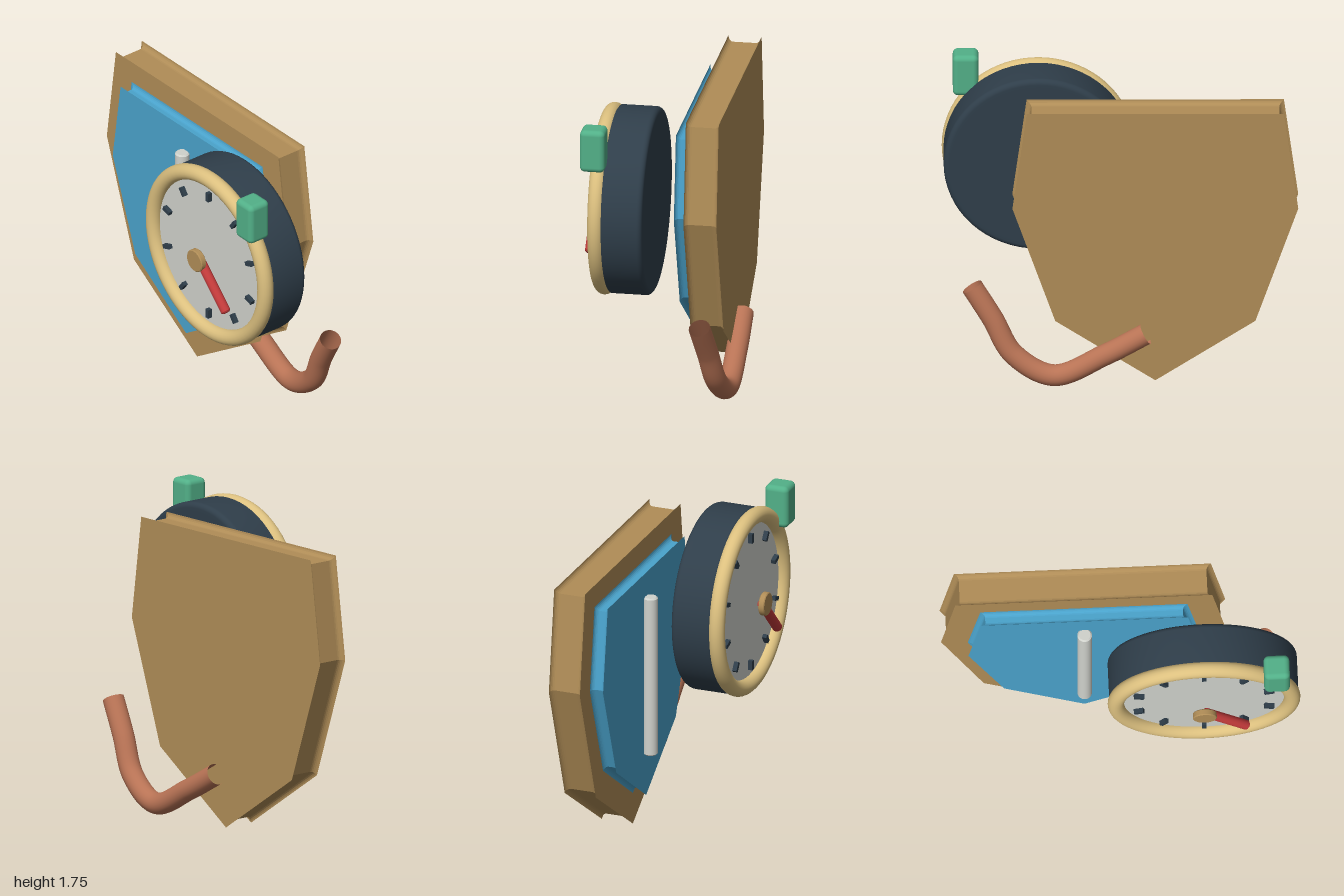
import * as THREE from 'three';
import { RoundedBoxGeometry } from 'three/addons/geometries/RoundedBoxGeometry.js';

const material = (name, color, side = THREE.FrontSide) => {
  const m = new THREE.MeshStandardMaterial({ color, side });
  m.name = name;
  return m;
};

export function createModel() {
  const bronze = material('bronze', 0xb08d57);
  const blue = material('blue enamel', 0x4aa3cc);
  const silver = material('pale silver', 0xd0d2cc);
  const slate = material('dark slate', 0x2f3e4a);
  const gold = material('pale gold', 0xdcc07f);
  const red = material('red', 0xc23a3a);
  const green = material('green', 0x52b088);
  const copper = material('copper', 0xb87355, THREE.DoubleSide);

  const model = new THREE.Group();
  const add = (parent, name, geometry, mat, x = 0, y = 0, z = 0) => {
    const mesh = new THREE.Mesh(geometry, mat);
    mesh.name = name;
    mesh.position.set(x, y, z);
    parent.add(mesh);
    return mesh;
  };

  // Symmetric plate whose edge is coved inward between two flared faces
  const covedPlate = (half, tipY, thickness, cove) => {
    const right = half.map(([x, y]) => new THREE.Vector2(x, y));
    const left = half.map(([x, y]) => new THREE.Vector2(-x, y)).reverse();
    const shape = new THREE.Shape([new THREE.Vector2(0, tipY), ...right, ...left]);
    const geometry = new THREE.ExtrudeGeometry(shape, {
      depth: thickness - 2 * cove, bevelEnabled: true,
      bevelThickness: cove, bevelSize: -0.03, bevelSegments: 5,
    });
    return geometry.translate(0, 0, cove);
  };

  // Round rod along y with slightly eased ends, base at y = 0
  const rod = (radius, length, ease = 0.008) => new THREE.LatheGeometry([
    [0, 0], [radius - ease, 0], [radius - ease, 0], [radius, ease], [radius, ease],
    [radius, length - ease], [radius, length - ease], [radius - ease, length],
    [radius - ease, length], [0, length],
  ].map(([x, y]) => new THREE.Vector2(x, y)), 32);

  // Shield: bronze back plate, enamel front plate and upright bar
  const shield = new THREE.Group();
  shield.name = 'shield';
  shield.position.x = -0.2;
  model.add(shield);
  add(shield, 'backPlate', covedPlate(
    [[0.56, 0.39], [0.8, 1.09], [0.72, 1.68]], 0.02, 0.187, 0.03), bronze, 0, 0, -0.327);
  add(shield, 'frontPlate', covedPlate(
    [[0.45, 0.51], [0.65, 1.065], [0.58, 1.55]], 0.205, 0.08, 0.025), blue, 0, 0, -0.14);
  add(shield, 'uprightBar', rod(0.041, 0.952), silver, 0, 0.457, -0.033);

  // Gauge: all parts share one axis along z
  const gauge = new THREE.Group();
  gauge.name = 'gauge';
  gauge.position.set(0.454, 1.182, 0);
  model.add(gauge);

  // Drum body with rounded rims
  const R = 0.53, r = 0.03, z0 = 0.035, z1 = 0.29;
  const profile = [new THREE.Vector2(0, z0), new THREE.Vector2(R - r - 0.02, z0)];
  for (let i = 0; i <= 5; i++) {
    const a = (i / 5) * Math.PI / 2;
    profile.push(new THREE.Vector2(R - r + r * Math.sin(a), z0 + r - r * Math.cos(a)));
  }
  profile.push(new THREE.Vector2(R, 0.26), new THREE.Vector2(R - 0.02, z1 - 0.01),
    new THREE.Vector2(R - 0.06, z1), new THREE.Vector2(0, z1));
  add(gauge, 'drumBody', new THREE.LatheGeometry(profile, 64).rotateX(Math.PI / 2), slate);
  add(gauge, 'bezelRing', new THREE.TorusGeometry(0.494, 0.046, 20, 72), gold, 0, 0, 0.302);
  add(gauge, 'dialFace', new THREE.CircleGeometry(0.48, 64), silver, 0, 0, 0.297);

  // Ten hour marks
  for (let i = 0; i < 10; i++) {
    const a = (i / 10) * Math.PI * 2;
    const tick = add(gauge, 'dialMark', new THREE.BoxGeometry(0.024, 0.055, 0.03), slate,
      Math.sin(a) * 0.383, Math.cos(a) * 0.383, 0.308);
    tick.rotation.z = -a;
  }

  // Pointer and its hub
  const pointer = add(gauge, 'pointer', rod(0.028, 0.338), red, 0, 0, 0.376);
  pointer.rotation.z = -Math.PI * 0.75;
  add(gauge, 'pointerHub', rod(0.067, 0.036, 0.005).rotateX(Math.PI / 2), bronze, 0, 0, 0.379);

  // Rounded button on the bezel
  add(model, 'button', new RoundedBoxGeometry(0.144, 0.247, 0.142, 4, 0.03), green,
    0.86, 1.626, 0.325);

  // Curved pipe sweeping out from behind the shield
  const path = new THREE.CatmullRomCurve3([
    [-0.145, 0.32, -0.352], [0.08, 0.195, -0.357], [0.37, 0.065, -0.352],
    [0.595, 0.185, -0.325], [0.71, 0.39, -0.295], [0.825, 0.575, -0.268],
  ].map((p) => new THREE.Vector3(...p)));
  add(model, 'curvedPipe', new THREE.TubeGeometry(path, 64, 0.061, 24), copper);

  return model;
}
